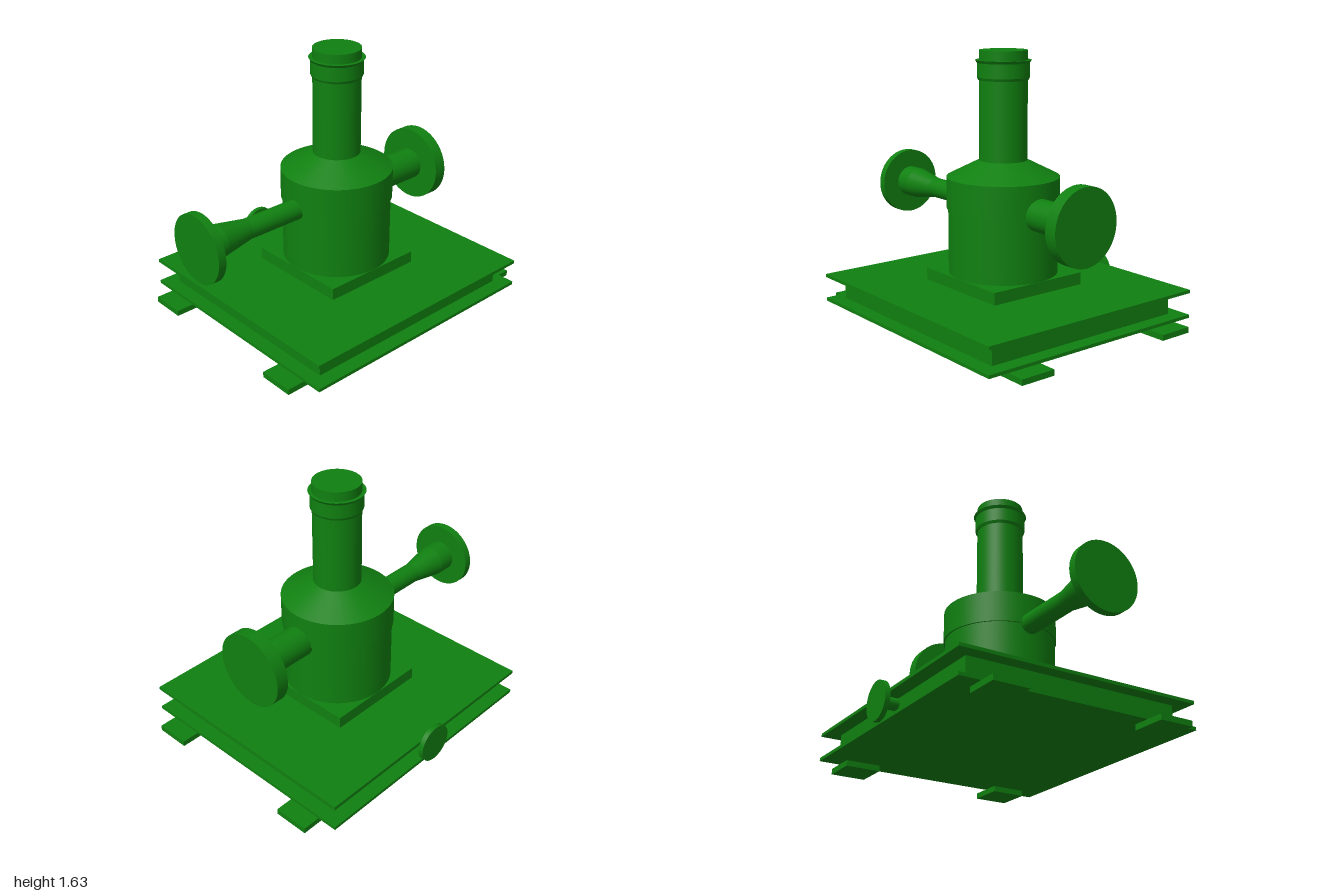
import * as THREE from 'three';

const CX = 0.017, CZ = -0.057, PIPE_Y = 0.69;

export function createModel() {
  const model = new THREE.Group();
  const green = new THREE.MeshStandardMaterial({ color: 0x108010 });

  function add(name, geometry) {
    const mesh = new THREE.Mesh(geometry, green);
    mesh.name = name;
    model.add(mesh);
    return mesh;
  }

  // Box given by its limits on each axis
  function box(name, x0, x1, y0, y1, z0, z1) {
    add(name, new THREE.BoxGeometry(x1 - x0, y1 - y0, z1 - z0))
      .position.set((x0 + x1) / 2, (y0 + y1) / 2, (z0 + z1) / 2);
  }

  // Turned solid from [radius, height] pairs; each section is separate so its edges stay crisp
  function turned(name, profile) {
    const group = new THREE.Group();
    group.name = name;
    for (let i = 0; i < profile.length - 1; i++) {
      const [a, b] = [profile[i], profile[i + 1]];
      const points = [a, b].map(([r, h]) => new THREE.Vector2(r, h));
      const mesh = new THREE.Mesh(new THREE.LatheGeometry(points, 64), green);
      mesh.name = name + 'Section' + (i + 1);
      group.add(mesh);
    }
    model.add(group);
    return group;
  }

  // Base: two plates around an inset core
  box('bottomPlate', -0.75, 0.785, 0.035, 0.055, -0.89, 0.775);
  box('baseCore', -0.66, 0.695, 0.055, 0.19, -0.8, 0.69);
  box('topPlate', -0.75, 0.785, 0.19, 0.21, -0.89, 0.775);

  // Four feet projecting at the front and back
  for (const [x0, x1] of [[-0.62, -0.4], [0.435, 0.655]]) {
    for (const [z0, z1] of [[0.67, 0.885], [-1, -0.78]]) box('foot', x0, x1, 0, 0.035, z0, z1);
  }

  // Square pad under the vessel
  box('vesselPad', -0.318, 0.352, 0.21, 0.285, -0.392, 0.278);

  // Vessel with wider upper band, conical shoulder and neck
  turned('vessel', [
    [0, 0.28], [0.334, 0.28], [0.334, 0.685], [0.343, 0.685], [0.343, 0.875],
    [0.145, 0.975], [0.145, 1.63], [0, 1.63],
  ]).position.set(CX, 0, CZ);

  // Collar with flared lip near the top of the neck
  turned('neckCollar', [
    [0.145, 1.455], [0.15, 1.455], [0.157, 1.47], [0.157, 1.555],
    [0.168, 1.572], [0.145, 1.572],
  ]).position.set(CX, 0, CZ);

  // Front pipe widening towards its flange
  const front = turned('frontPipe', [
    [0.063, 0.2], [0.063, 0.645], [0.098, 0.845], [0.098, 0.95],
    [0.21, 0.95], [0.21, 1], [0, 1],
  ]);
  front.rotation.x = Math.PI / 2;
  front.position.set(CX, PIPE_Y, 0);

  // Straight back pipe with larger flange
  const back = turned('backPipe', [
    [0.098, 0.3], [0.098, 0.707], [0.233, 0.707], [0.233, 0.788], [0, 0.788],
  ]);
  back.rotation.x = -Math.PI / 2;
  back.position.set(CX, PIPE_Y, 0);

  // Small drain pipe on the right side of the base
  const drain = turned('drainPipe', [
    [0.036, 0.65], [0.036, 0.757], [0.118, 0.757], [0.118, 0.787], [0, 0.787],
  ]);
  drain.rotation.z = Math.PI / 2;
  drain.position.set(0, 0.158, -0.06);

  return model;
}
